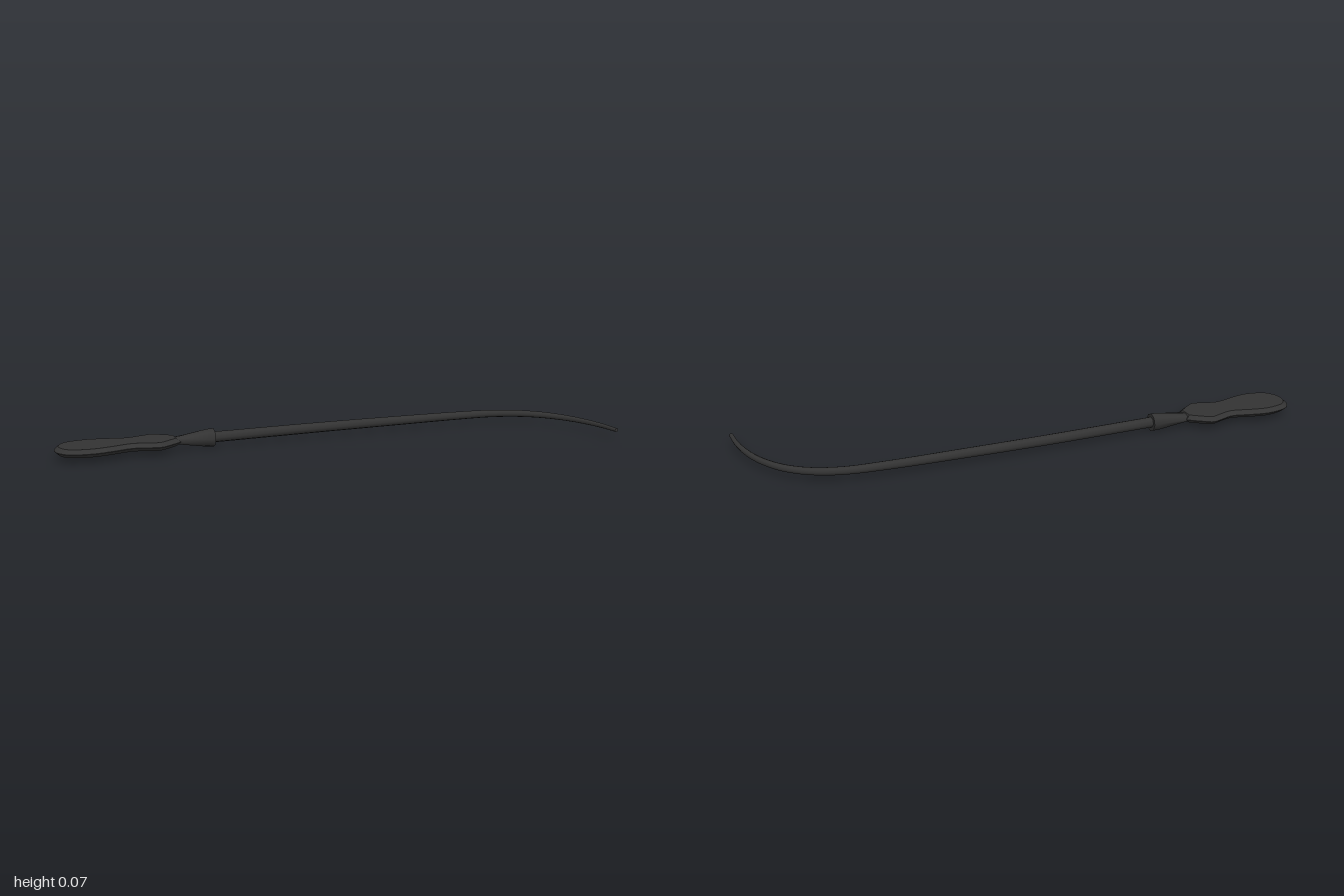
import * as THREE from 'three';
import { toCreasedNormals } from 'three/addons/utils/BufferGeometryUtils.js';

const MID_Y = 0.034, AXIS_Z = -0.188;

// Skin eight-sided rings; each ring is { p, t, h, w }: centre, direction, half height, half width.
// Ends are closed with duplicated rings so that the rims stay sharp.
function loft(rings, sides = 8) {
  const first = rings[0], last = rings[rings.length - 1];
  const all = [{ ...first, h: 0, w: 0 }, first, ...rings, last, { ...last, h: 0, w: 0 }];
  const pos = [], index = [];
  const up = new THREE.Vector3(0, 1, 0);
  all.forEach(({ p, t, h, w }, i) => {
    const side = new THREE.Vector3().crossVectors(t, up).normalize();
    for (let j = 0; j < sides; j++) {
      const a = (j / sides) * Math.PI * 2;
      const v = p.clone().addScaledVector(up, h * Math.cos(a)).addScaledVector(side, w * Math.sin(a));
      pos.push(v.x, v.y, v.z);
      if (i === all.length - 1) continue;
      const k = (j + 1) % sides, r = i * sides, n = r + sides;
      index.push(r + j, r + k, n + k, r + j, n + k, n + j);
    }
  });
  const g = new THREE.BufferGeometry();
  g.setAttribute('position', new THREE.Float32BufferAttribute(pos, 3));
  g.setIndex(index);
  g.computeVertexNormals();
  return g;
}

// Tapered rod, straight and then curving forward into a hook
function shaftGeometry() {
  const path = new THREE.CatmullRomCurve3([
    [-0.47, -0.188], [0, -0.19], [0.3, -0.184], [0.55, -0.176], [0.7, -0.161], [0.8, -0.124],
    [0.88, -0.06], [0.938, 0.03], [0.97, 0.12], [0.985, 0.2], [0.99, 0.28],
  ].map(([x, z]) => new THREE.Vector3(x, MID_Y + 0.001, z)), false, 'centripetal');
  const rings = [], n = 48;
  for (let i = 0; i <= n; i++) {
    const u = i / n;
    const r = 0.02 - 0.0125 * Math.pow(u, 2.2);
    rings.push({ p: path.getPointAt(u), t: path.getTangentAt(u), h: r, w: r });
  }
  return loft(rings);
}

// Socket: flat where it meets the blade, round where it grips the rod
function collarGeometry() {
  const t = new THREE.Vector3(1, 0, 0);
  return loft([[-0.58, 0.013, 0.033], [-0.555, 0.016, 0.032], [-0.455, 0.033, 0.031], [-0.43, 0.034, 0.031]]
    .map(([x, h, w]) => ({ p: new THREE.Vector3(x, MID_Y, AXIS_Z), t, h, w })));
}

// Waisted blade with a sharp bevelled rim
function bladeGeometry() {
  const edge = new THREE.SplineCurve([
    [-1, 0], [-0.99, 0.04], [-0.955, 0.077], [-0.88, 0.092], [-0.81, 0.081],
    [-0.74, 0.064], [-0.685, 0.077], [-0.645, 0.087], [-0.61, 0.07], [-0.56, 0.033],
  ].map(([x, w]) => new THREE.Vector2(x, w))).getPoints(36);
  const mirrored = edge.slice(1).reverse().map((p) => new THREE.Vector2(p.x, -p.y));
  const shape = new THREE.Shape([...mirrored, ...edge]);
  const g = new THREE.ExtrudeGeometry(shape, {
    depth: 0.001, bevelEnabled: true, bevelSegments: 1,
    bevelThickness: 0.014, bevelSize: 0.015, bevelOffset: -0.015,
  });
  g.translate(0, 0, -0.0005).rotateX(Math.PI / 2).translate(0, MID_Y + 0.001, AXIS_Z);
  return toCreasedNormals(g, 0.6);
}

export function createModel() {
  const group = new THREE.Group();
  const material = new THREE.MeshStandardMaterial({ color: 0x333333 });
  const parts = { shaft: shaftGeometry(), collar: collarGeometry(), blade: bladeGeometry() };
  for (const [name, geometry] of Object.entries(parts)) {
    const mesh = new THREE.Mesh(geometry, material);
    mesh.name = name;
    group.add(mesh);
  }
  return group;
}
